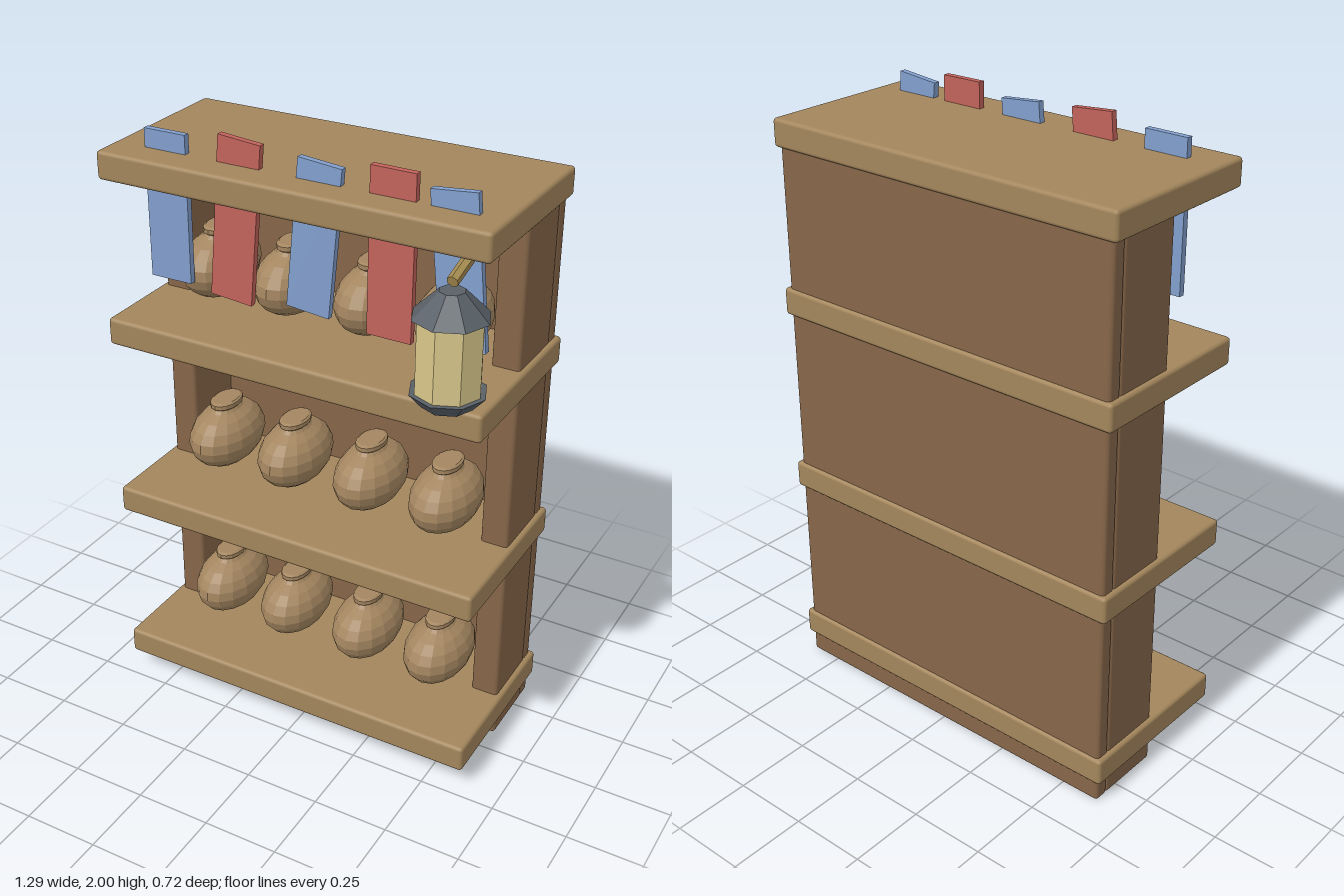
import * as THREE from 'three';
import { RoundedBoxGeometry } from 'three/addons/geometries/RoundedBoxGeometry.js';

const material = (name, color, flatShading = true) => {
  const m = new THREE.MeshStandardMaterial({ color, flatShading });
  m.name = name;
  return m;
};

export function createModel() {
  const model = new THREE.Group();
  model.name = 'jarShelf';

  const lightWood = material('light wood', 0xa3865c, false);
  const darkWood = material('dark wood', 0x866649, false);
  const clay = material('clay', 0xa48660);
  const blue = material('blue cloth', 0x829fcd);
  const red = material('red cloth', 0xc2625b);
  const metal = material('dark metal', 0x596067);
  const glass = material('lantern glass', 0xd8c78a);
  const brass = material('bracket wood', 0xa58b50);

  const add = (parent, name, geometry, mat, x = 0, y = 0, z = 0) => {
    const mesh = new THREE.Mesh(geometry, mat);
    mesh.name = name;
    mesh.position.set(x, y, z);
    parent.add(mesh);
    return mesh;
  };
  // Softly bevelled board given by its extents
  const board = (name, mat, [x0, x1], [y0, y1], [z0, z1]) =>
    add(model, name, new RoundedBoxGeometry(x1 - x0, y1 - y0, z1 - z0, 2, 0.012), mat,
      (x0 + x1) / 2, (y0 + y1) / 2, (z0 + z1) / 2);

  // Case: back panel and two side boards
  board('backPanel', darkWood, [-0.635, 0.608], [0.005, 1.86], [-0.352, -0.3]);
  board('rightSide', darkWood, [-0.635, -0.543], [0.005, 1.86], [-0.305, -0.078]);
  board('leftSide', darkWood, [0.517, 0.608], [0.005, 1.86], [-0.305, -0.078]);

  // Shelves, the last one being the top
  for (const y of [0.077, 0.664, 1.283, 1.827]) {
    board('shelf', lightWood, [-0.65, 0.625], [y, y + 0.09], [-0.362, 0.222]);
  }

  // Jars: round belly, short neck and lip, deeper than wide
  const profile = [new THREE.Vector2(0, -0.106)];
  for (let i = 1; i <= 9; i++) {
    const a = -Math.PI / 2 + (i / 10.5) * Math.PI;
    profile.push(new THREE.Vector2(0.107 * Math.cos(a), 0.106 * Math.sin(a)));
  }
  for (const [r, y] of [[0.039, 0.106], [0.045, 0.112], [0.045, 0.126], [0.038, 0.131], [0, 0.131]]) {
    profile.push(new THREE.Vector2(r, y));
  }
  const jar = new THREE.LatheGeometry(profile, 16).scale(1, 1, 1.55);
  for (const y of [0.305, 0.893, 1.51]) {
    for (const x of [-0.41, -0.146, 0.133, 0.4]) add(model, 'jar', jar, clay, x, y, -0.066);
  }

  // Cloth strips hanging through the top: x, y, height, tilt, colour
  const strips = [
    [-0.47, 1.741, 0.47, 0, blue],
    [-0.233, 1.741, 0.51, -0.083, red],
    [0.032, 1.741, 0.468, -0.09, blue],
    [0.281, 1.742, 0.513, -0.008, red],
    [0.489, 1.739, 0.468, 0.1, blue],
  ];
  for (const [x, y, h, tilt, mat] of strips) {
    add(model, 'clothStrip', new THREE.BoxGeometry(0.143, h, 0.021), mat, x, y, 0.112).rotation.z = tilt;
  }

  // Eight-sided lantern
  const lantern = new THREE.Group();
  lantern.name = 'lantern';
  lantern.position.set(0.53, 0, 0.247);
  model.add(lantern);
  const ring = (name, top, bottom, y0, y1, mat) =>
    add(lantern, name, new THREE.CylinderGeometry(top, bottom, y1 - y0, 8), mat, 0, (y0 + y1) / 2, 0);
  ring('lanternRoof', 0.038, 0.114, 1.67, 1.747, metal);
  ring('lanternGlass', 0.098, 0.098, 1.44, 1.675, glass);
  ring('lanternBase', 0.114, 0.077, 1.403, 1.445, metal);

  // Arm from the underside of the top board to the lantern
  const arm = add(model, 'lanternArm', new THREE.CylinderGeometry(0.018, 0.018, 0.27, 6), brass, 0.53, 1.81, 0.12);
  arm.rotation.x = Math.PI / 2 + 0.29;

  return model;
}
